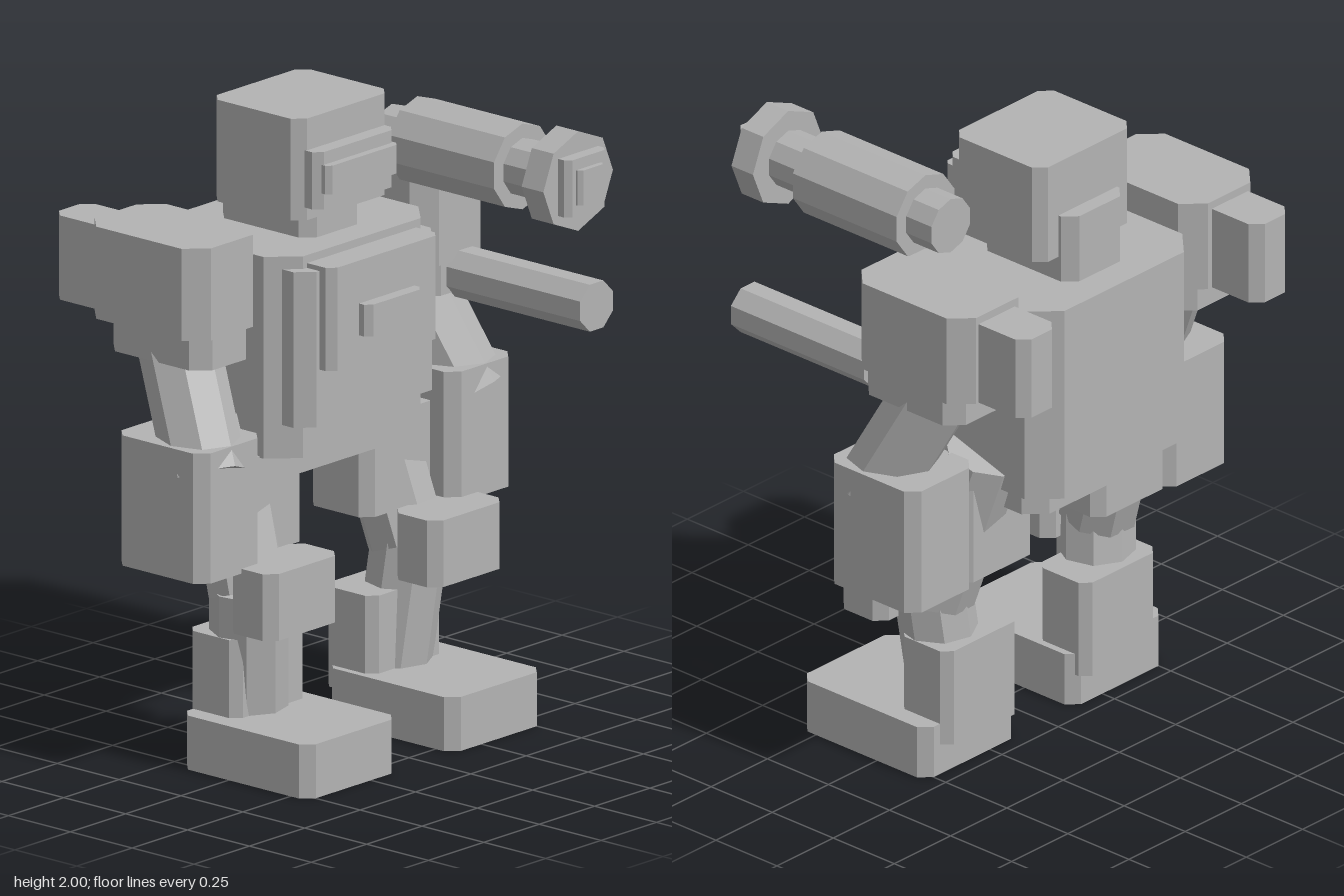
import * as THREE from 'three';

const grey = new THREE.MeshStandardMaterial({ color: 0xb3b3b3, flatShading: true });
grey.name = 'grey metal';

function add(parent, name, geometry) {
  const mesh = new THREE.Mesh(geometry, grey);
  mesh.name = name;
  parent.add(mesh);
  return mesh;
}

// Block with its four vertical edges cut off by c
function block(parent, name, [x0, x1], [y0, y1], [z0, z1], c = 0.035) {
  const shape = new THREE.Shape([
    [x0 + c, -z1], [x1 - c, -z1], [x1, -z1 + c], [x1, -z0 - c],
    [x1 - c, -z0], [x0 + c, -z0], [x0, -z0 - c], [x0, -z1 + c],
  ].map(([x, y]) => new THREE.Vector2(x, y)));
  const g = new THREE.ExtrudeGeometry(shape, { depth: y1 - y0, bevelEnabled: false });
  g.rotateX(-Math.PI / 2);
  g.translate(0, y0, 0);
  return add(parent, name, g);
}

// Faceted rod between two points
function rod(parent, name, a, b, radius, sides = 8, twist = 0) {
  const from = new THREE.Vector3(...a), to = new THREE.Vector3(...b);
  const dir = to.clone().sub(from);
  const g = new THREE.CylinderGeometry(radius, radius, dir.length(), sides);
  g.rotateY(twist);
  const mesh = add(parent, name, g);
  mesh.position.copy(from).add(to).multiplyScalar(0.5);
  mesh.quaternion.setFromUnitVectors(new THREE.Vector3(0, 1, 0), dir.normalize());
  return mesh;
}

export function createModel() {
  const model = new THREE.Group();
  model.name = 'robot';

  // Body and stacked chest plates
  block(model, 'torso', [-0.35, 0.35], [0.965, 1.6], [-0.52, 0.06], 0.085);
  block(model, 'chestPlate', [-0.31, 0.31], [1.07, 1.56], [-0.1, 0.11], 0.05);
  block(model, 'chestPanel', [-0.248, 0.245], [1.25, 1.575], [0, 0.16], 0.025);
  block(model, 'chestVent', [-0.125, 0.125], [1.34, 1.44], [0.1, 0.2], 0.02);
  block(model, 'pelvis', [-0.3, 0.3], [0.875, 1], [-0.435, -0.04], 0.06);

  // Head
  block(model, 'neck', [-0.13, 0.13], [1.55, 1.82], [-0.42, -0.04], 0.04);
  block(model, 'head', [-0.21, 0.21], [1.68, 2], [-0.37, -0.005]);
  block(model, 'visorFrame', [-0.18, 0.175], [1.72, 1.9], [-0.1, 0.045], 0.025);
  block(model, 'visor', [-0.16, 0.16], [1.77, 1.86], [0, 0.07], 0.015);

  for (const s of [1, -1]) {
    const side = s > 0 ? 'left' : 'right';
    const span = (a, b) => (s > 0 ? [a, b] : [-b, -a]);

    // Arm
    const arm = new THREE.Group();
    arm.name = side + 'Arm';
    model.add(arm);
    block(arm, 'shoulder', span(0.357, 0.672), [1.4, 1.69], [-0.475, -0.005], 0.063);
    block(arm, 'shoulderPod', span(0.438, 0.598), [1.4, 1.665], [-0.66, -0.44], 0.035);
    block(arm, 'shoulderCollar', span(0.39, 0.64), [1.3, 1.42], [-0.415, -0.015], 0.05);
    rod(arm, 'upperArm', [s * 0.51, 1.34, -0.23], [s * 0.59, 0.96, -0.04], 0.125);
    block(arm, 'forearm', span(0.423, 0.71), [0.66, 1.07], [-0.31, 0.05], 0.038);

    // Leg
    const leg = new THREE.Group();
    leg.name = side + 'Leg';
    model.add(leg);
    block(leg, 'hip', span(0.135, 0.455), [0.66, 0.97], [-0.29, -0.04]);
    rod(leg, 'thigh', [s * 0.32, 1.05, -0.24], [s * 0.36, 0.54, -0.08], 0.125);
    block(leg, 'knee', span(0.21, 0.533), [0.465, 0.675], [-0.015, 0.17]);
    rod(leg, 'shin', [s * 0.365, 0.56, -0.07], [s * 0.32, 0.1, -0.11], 0.12);
    block(leg, 'calf', span(0.143, 0.472), [0.1, 0.415], [-0.23, -0.025], 0.03);
    block(leg, 'foot', span(0.12, 0.535), [0, 0.17], [-0.2, 0.32], 0.036);
  }

  // Shoulder cannon on the left
  const cannon = new THREE.Group();
  cannon.name = 'shoulderCannon';
  model.add(cannon);
  const cx = 0.373, cy = 1.802;
  rod(cannon, 'innerTube', [cx, cy, -0.153], [cx, cy, 0.55], 0.09, 10);
  rod(cannon, 'casing', [cx, cy, -0.05], [cx, cy, 0.375], 0.135, 10);
  rod(cannon, 'muzzle', [cx, cy, 0.512], [cx, cy, 0.6], 0.157, 8);
  block(cannon, 'lensFrame', [cx - 0.09, cx + 0.09], [cy - 0.09, cy + 0.09], [0.55, 0.642], 0.018);
  block(cannon, 'lens', [cx - 0.056, cx + 0.056], [cy - 0.055, cy + 0.055], [0.6, 0.66], 0.012);

  // Forward barrel beside the left upper arm
  rod(model, 'armBarrel', [0.54, 1.355, -0.02], [0.54, 1.355, 0.525], 0.08, 8, Math.PI / 8);

  return model;
}
